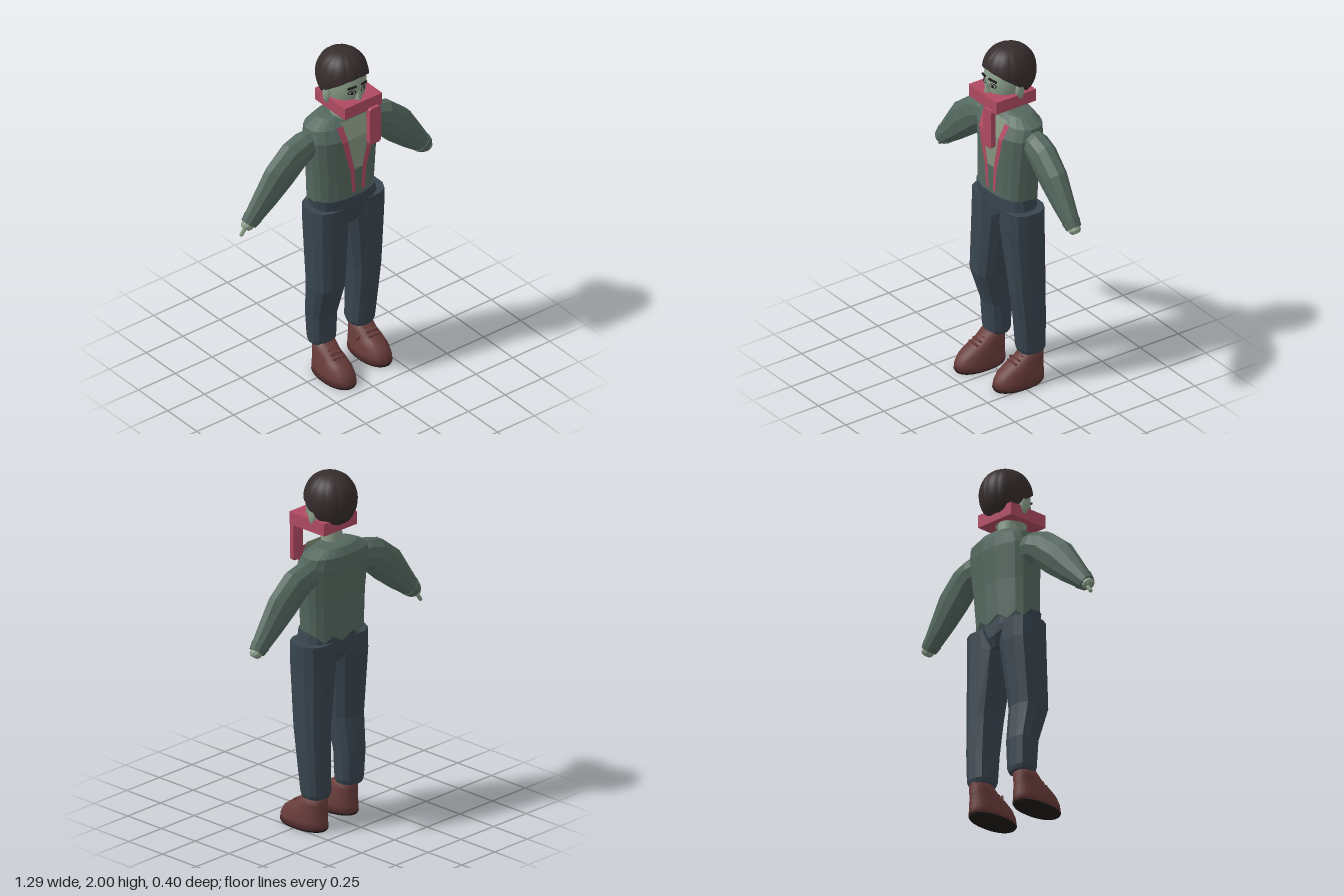
import * as THREE from 'three';

const mat = (name, color, extra = {}) => {
  const m = new THREE.MeshStandardMaterial({ color, ...extra });
  m.name = name;
  return m;
};

// Turns a grid of points (rows x columns) into a surface
function gridGeometry(rows, { closed = false, flat = true, caps = false } = {}) {
  const n = rows[0].length, pos = rows.flat(2), idx = [];
  for (let j = 0; j < rows.length - 1; j++)
    for (let i = 0; i < (closed ? n : n - 1); i++) {
      const a = j * n + i, b = j * n + (i + 1) % n;
      idx.push(a, a + n, b, b, a + n, b + n);
    }
  if (caps) [0, rows.length - 1].forEach((j, end) => {
    const c = pos.length / 3;
    pos.push(...[0, 1, 2].map(k => rows[j].reduce((s, p) => s + p[k], 0) / n));
    for (let i = 0; i < n; i++) {
      const a = j * n + i, b = j * n + (i + 1) % n;
      idx.push(...(end ? [c, b, a] : [c, a, b]));
    }
  });
  let g = new THREE.BufferGeometry();
  g.setAttribute('position', new THREE.Float32BufferAttribute(pos, 3));
  g.setIndex(idx);
  if (flat) g = g.toNonIndexed();
  g.computeVertexNormals();
  return g;
}

// Rounded cross-sections: [x, y, z, radius, depth radius, tilt]
function loft(rings, sides, { power = 1, flat = true, warp = p => p } = {}) {
  const round = v => Math.sign(v) * Math.abs(v) ** power;
  const rows = rings.map(([x, y, z, ru, rz, tilt = 0], j) =>
    Array.from({ length: sides }, (_, i) => {
      const t = (i + 0.5) / sides * Math.PI * 2;
      const u = ru * round(Math.cos(t));
      return warp([x + u * Math.cos(tilt), y + u * Math.sin(tilt), z + rz * round(Math.sin(t))], i, j);
    }));
  return gridGeometry(rows, { closed: true, flat, caps: true });
}

export function createModel() {
  const root = new THREE.Group();
  root.name = 'figure';
  const two = { side: THREE.DoubleSide };
  const jacket = mat('jacket green', 0x54685f), skin = mat('pale green skin', 0x899d88);
  const shirt = mat('shirt', 0x84947e, two), pants = mat('trouser blue', 0x39454f);
  const leather = mat('shoe brown', 0x683c3a), soleMat = mat('sole black', 0x1d1a18);
  const hairMat = mat('hair brown', 0x362c2d, two), red = mat('scarf red', 0xb04a62, two);
  const dark = mat('feature black', 0x221d1f), white = mat('eye grey', 0xaab3a6);
  const add = (name, geo, m, x = 0, y = 0, z = 0, parent = root) => {
    const mesh = new THREE.Mesh(geo, m);
    mesh.name = name;
    mesh.position.set(x, y, z);
    parent.add(mesh);
    return mesh;
  };

  // Jacket body with a ragged hem at the back
  add('jacketBody', loft([
    [0.013, 1.12, -0.05, 0.198, 0.119], [0.018, 1.3, -0.054, 0.208, 0.122],
    [0.02, 1.5, -0.062, 0.225, 0.13], [0.02, 1.565, -0.078, 0.21, 0.111],
    [0.02, 1.605, -0.085, 0.13, 0.078], [0.015, 1.613, -0.08, 0.08, 0.06],
  ], 20, {
    power: 0.85,
    warp: (p, i, j) => (j === 0 && p[2] < -0.09 ? [p[0], p[1] - (i % 2 ? 0.05 : 0.012), p[2]] : p),
  }), jacket);

  // Shirt panel and lapel strips lying on the chest: rows of [y, x0, x1]
  const ribbon = (rows, lift) => gridGeometry(rows.map(([y, a, b]) => {
    const z = 0.073 + lift - Math.max(0, y - 1.5) * 0.42;
    return [[a, y, z], [b, y, z]];
  }).reverse());
  add('shirtPanel', ribbon([[1.6, -0.05, 0.124], [1.5, -0.05, 0.124], [1.4, -0.02, 0.094], [1.3, 0.005, 0.069]], 0), shirt);
  const strip = [[1.585, -0.082, -0.042], [1.5, -0.07, -0.034], [1.35, -0.033, -0.001], [1.3, -0.017, 0.01], [1.16, -0.005, 0.017]];
  add('lapelRight', ribbon(strip, 0.004), red);
  add('lapelLeft', ribbon(strip.map(([y, a, b]) => [y, 0.074 - b, 0.074 - a]), 0.004), red);

  // Arms with cuffs and hands
  for (const s of [1, -1]) {
    const side = s > 0 ? 'Left' : 'Right';
    const place = r => r.map(([x, y, z, u, w, t]) => [s > 0 ? x : -x + 0.1 * (0.62 - x), y, z, u, w, s * t]);
    add('sleeve' + side, loft(place([
      [0.19, 1.475, -0.075, 0.08, 0.065, -1.65], [0.25, 1.465, -0.075, 0.088, 0.072, -1.75],
      [0.312, 1.437, -0.072, 0.1, 0.071, -2.1], [0.41, 1.348, -0.068, 0.104, 0.067, -2.42],
      [0.5, 1.245, -0.065, 0.079, 0.055, -2.44], [0.588, 1.15, -0.063, 0.051, 0.042, -2.44],
    ]), 10), jacket);
    add('cuff' + side, loft(place([
      [0.572, 1.167, -0.063, 0.06, 0.047, -2.44], [0.602, 1.135, -0.063, 0.046, 0.041, -2.44],
    ]), 10), jacket);
    add('hand' + side, loft(place([
      [0.59, 1.147, -0.063, 0.034, 0.034, -2.44], [0.614, 1.124, -0.063, 0.034, 0.033, -2.44],
      [0.624, 1.114, -0.063, 0.024, 0.022, -2.44],
    ]), 10), skin);
  }
  add('thumbRight', new THREE.CapsuleGeometry(0.011, 0.035, 3, 8), skin, -0.627, 1.09, -0.075).rotation.z = -0.6;

  // Trousers: hips and two legs, the right knee bent forward
  add('hips', loft([
    [0.037, 0.945, -0.045, 0.05, 0.09], [0.033, 1.0, -0.045, 0.08, 0.112],
    [0.028, 1.055, -0.042, 0.2, 0.115], [0.014, 1.13, -0.041, 0.198, 0.116],
  ], 16, { power: 0.8 }), pants);
  add('legLeft', loft([
    [0.172, 0.185, -0.085, 0.066, 0.07], [0.172, 0.21, -0.085, 0.076, 0.078],
    [0.177, 0.37, -0.076, 0.08, 0.086], [0.176, 0.58, -0.061, 0.087, 0.099],
    [0.152, 0.95, -0.045, 0.116, 0.114], [0.153, 1.068, -0.045, 0.116, 0.114],
  ], 12, { power: 0.8 }), pants);
  add('legRight', loft([
    [-0.105, 0.185, -0.063, 0.068, 0.064], [-0.105, 0.21, -0.063, 0.077, 0.07],
    [-0.107, 0.37, -0.062, 0.083, 0.078], [-0.111, 0.57, -0.02, 0.097, 0.1],
    [-0.092, 0.95, -0.043, 0.118, 0.115], [-0.093, 1.068, -0.044, 0.116, 0.114],
  ], 12, { power: 0.8 }), pants);

  // Shoes with soles and laces
  for (const [side, x, z, bow] of [['Left', 0.177, 0, -0.075], ['Right', -0.106, 0.05, -0.058]]) {
    const shoe = new THREE.Group();
    shoe.name = 'shoe' + side;
    shoe.position.set(x, 0, z);
    root.add(shoe);
    add('sole', loft([[0, 0, -0.003, 0.08, 0.15], [0, 0.015, -0.003, 0.085, 0.156]], 24, { power: 0.9 }), soleMat, 0, 0, 0, shoe);
    add('upper', loft([
      [0, 0.01, -0.003, 0.086, 0.155], [0, 0.05, -0.005, 0.083, 0.152], [0, 0.09, -0.016, 0.077, 0.14],
      [0, 0.12, -0.036, 0.069, 0.12], [0, 0.145, -0.063, 0.063, 0.094], [0, 0.2, -0.095, 0.057, 0.06],
    ], 24, { power: 0.9, flat: false }), leather, 0, 0, 0, shoe);
    for (let i = 0; i < 3; i++)
      add('lace', new THREE.BoxGeometry(0.075 - i * 0.006, 0.01, 0.012), leather, 0, 0.143 + i * 0.015, 0.036 - i * 0.025, shoe);
    add('laceBow', new THREE.TorusGeometry(0.009, 0.005, 5, 10), leather, bow, 0.125, -0.01, shoe);
  }

  // Neck, head, ears and nose
  const cx = 0.027;
  add('neck', new THREE.CylinderGeometry(0.054, 0.06, 0.12, 16), skin, 0.013, 1.63, -0.048);
  add('head', loft([
    [cx, 1.635, -0.01, 0.04, 0.05], [cx, 1.66, -0.01, 0.07, 0.075], [cx, 1.71, -0.015, 0.095, 0.094],
    [cx, 1.78, -0.025, 0.113, 0.112], [cx, 1.86, -0.035, 0.12, 0.118], [cx, 1.92, -0.048, 0.098, 0.095],
    [cx, 1.96, -0.05, 0.05, 0.05],
  ], 24, { flat: false }), skin);
  add('nose', new THREE.ConeGeometry(0.022, 0.065, 6), skin, 0.027, 1.79, 0.093).rotation.x = 0.15;

  for (const s of [1, -1]) {
    const side = s > 0 ? 'Left' : 'Right';
    add('ear' + side, new THREE.SphereGeometry(0.042, 10, 8), skin, cx + s * 0.12, 1.772, -0.035).scale.set(0.4, 1.25, 0.65);
    // Eye and brow plates
    const face = new THREE.Group();
    face.name = 'eye' + side;
    face.position.set(cx + s * 0.039, 1.808, 0.082);
    face.rotation.y = s * 0.36;
    root.add(face);
    const disc = (name, r, sx, m, z) => add(name, new THREE.SphereGeometry(r, 12, 8), m, 0, 0, z, face).scale.set(sx, 1, 0.2);
    disc('lashes', 0.014, 1.7, dark, 0);
    disc('eyeWhite', 0.009, 2, white, 0.003);
    disc('iris', 0.009, 1, dark, 0.005);
    add('brow', new THREE.BoxGeometry(0.052, 0.01, 0.009), dark, 0, 0.033, 0.004, face).rotation.z = -s * 0.2;
  }

  // Ribbed hair cap, parted over the face and long at the nape
  const hairRows = [];
  for (let j = 0; j <= 14; j++) {
    const row = [];
    for (let i = 0; i <= 84; i++) {
      const t = i / 84 * Math.PI * 2, front = Math.cos(t);
      const end = front > 0 ? 1.79 + 0.1 * front : 1.79 + 0.065 * Math.max(-1, front * 2);
      const phi = (j / 14) * Math.acos((end - 1.855) / 0.145);
      const rib = 0.03 * Math.sqrt(Math.abs(Math.sin(t * 6))) - 0.02;
      const r = Math.sin(phi) ** (phi > Math.PI / 2 ? 0.65 : 0.85) * (1 + rib * Math.min(1, j / 4));
      row.push([cx + 0.139 * r * Math.sin(t), 1.855 + 0.145 * Math.cos(phi), -0.05 + (front > 0 ? 0.145 : 0.152) * r * front]);
    }
    hairRows.push(row.reverse());
  }
  add('hair', gridGeometry(hairRows.reverse(), { flat: false }), hairMat);

  // Square scarf and its hanging end
  add('scarfWrap', new THREE.BoxGeometry(0.252, 0.072, 0.258), red, 0.032, 1.724, -0.003);
  const end = new THREE.Shape();
  const w = 0.037, h = 0.115, c = 0.01;
  end.moveTo(-w + c, -h).lineTo(w - c, -h).lineTo(w, -h + c).lineTo(w, h - c)
    .lineTo(w - c, h).lineTo(-w + c, h).lineTo(-w, h - c).lineTo(-w, -h + c).closePath();
  add('scarfEnd', new THREE.ExtrudeGeometry(end, { depth: 0.027, bevelEnabled: false }), red, 0.098, 1.585, 0.117);

  return root;
}
